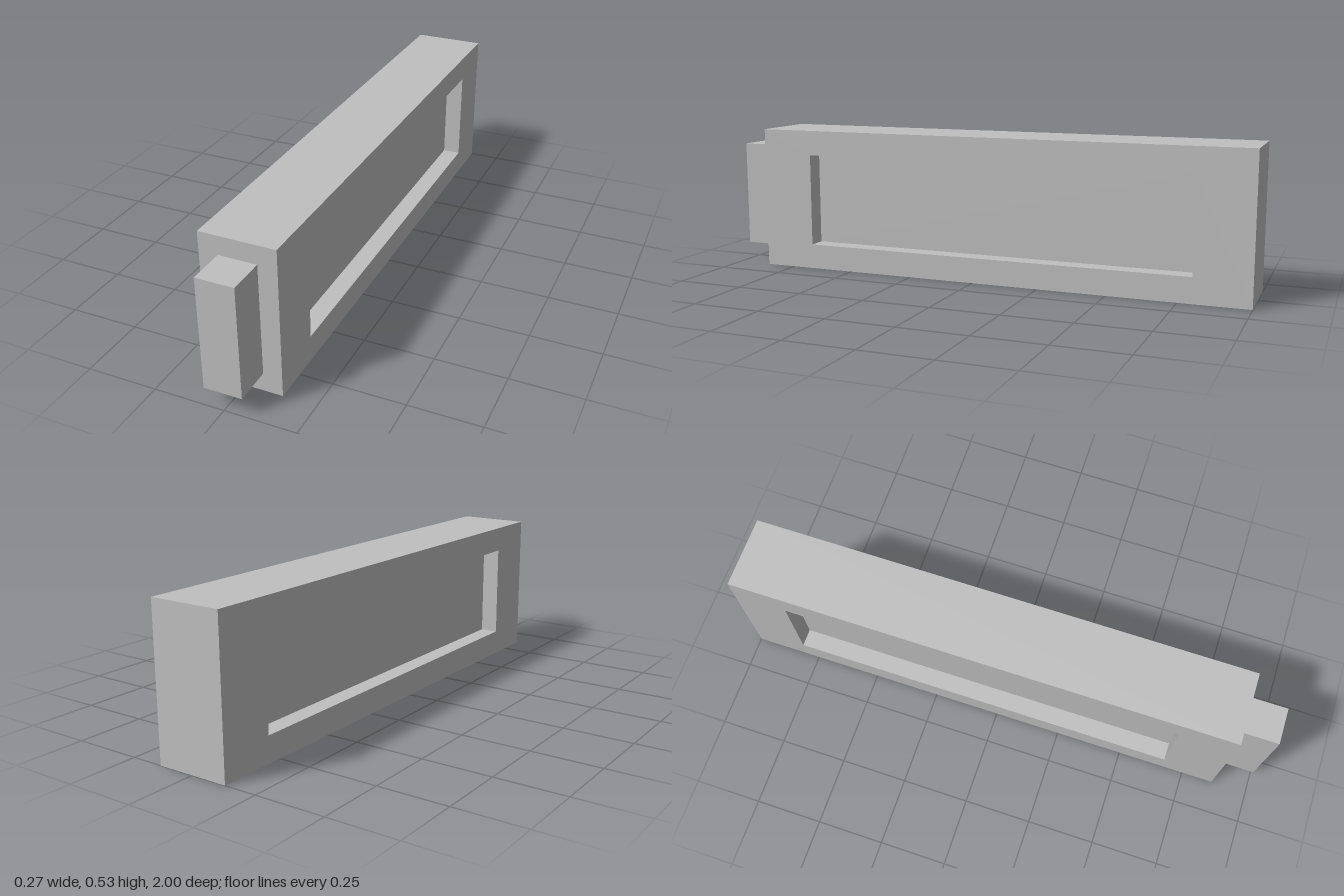
import * as THREE from 'three';

const U = 1 / 15; // base module of the design

// Rectangle outline in the side plane (z, y)
function rect(PathType, z0, z1, y0, y1) {
  const p = new PathType();
  p.moveTo(z0, y0);
  p.lineTo(z1, y0);
  p.lineTo(z1, y1);
  p.lineTo(z0, y1);
  p.closePath();
  return p;
}

export function createModel() {
  const group = new THREE.Group();
  const grey = new THREE.MeshStandardMaterial({ color: 0xc0c0c0 });
  grey.name = 'light grey';

  const add = (name, geometry) => {
    const mesh = new THREE.Mesh(geometry, grey);
    mesh.name = name;
    group.add(mesh);
    return mesh;
  };

  // Body: thick frame with a long window cut through sideways
  const window = { z0: -12 * U, z1: 10 * U, y0: 1.4 * U, y1: 6.6 * U };
  const outline = rect(THREE.Shape, -15 * U, 13 * U, 0, 8 * U);
  outline.holes.push(rect(THREE.Path, window.z0, window.z1, window.y0, window.y1));
  const frame = new THREE.ExtrudeGeometry(outline, { depth: 4 * U, bevelEnabled: false });
  frame.rotateY(-Math.PI / 2).translate(2 * U, 0, 0);
  add('bodyFrame', frame);

  // Panel filling the window, set back on both sides
  const panel = add('recessedPanel', new THREE.BoxGeometry(2 * U, window.y1 - window.y0, window.z1 - window.z0));
  panel.position.set(0, (window.y0 + window.y1) / 2, (window.z0 + window.z1) / 2);

  // Narrow block on the front end
  const block = add('frontBlock', new THREE.BoxGeometry(2 * U, 6 * U, 2 * U));
  block.position.set(0, 4 * U, 14 * U);

  return group;
}
